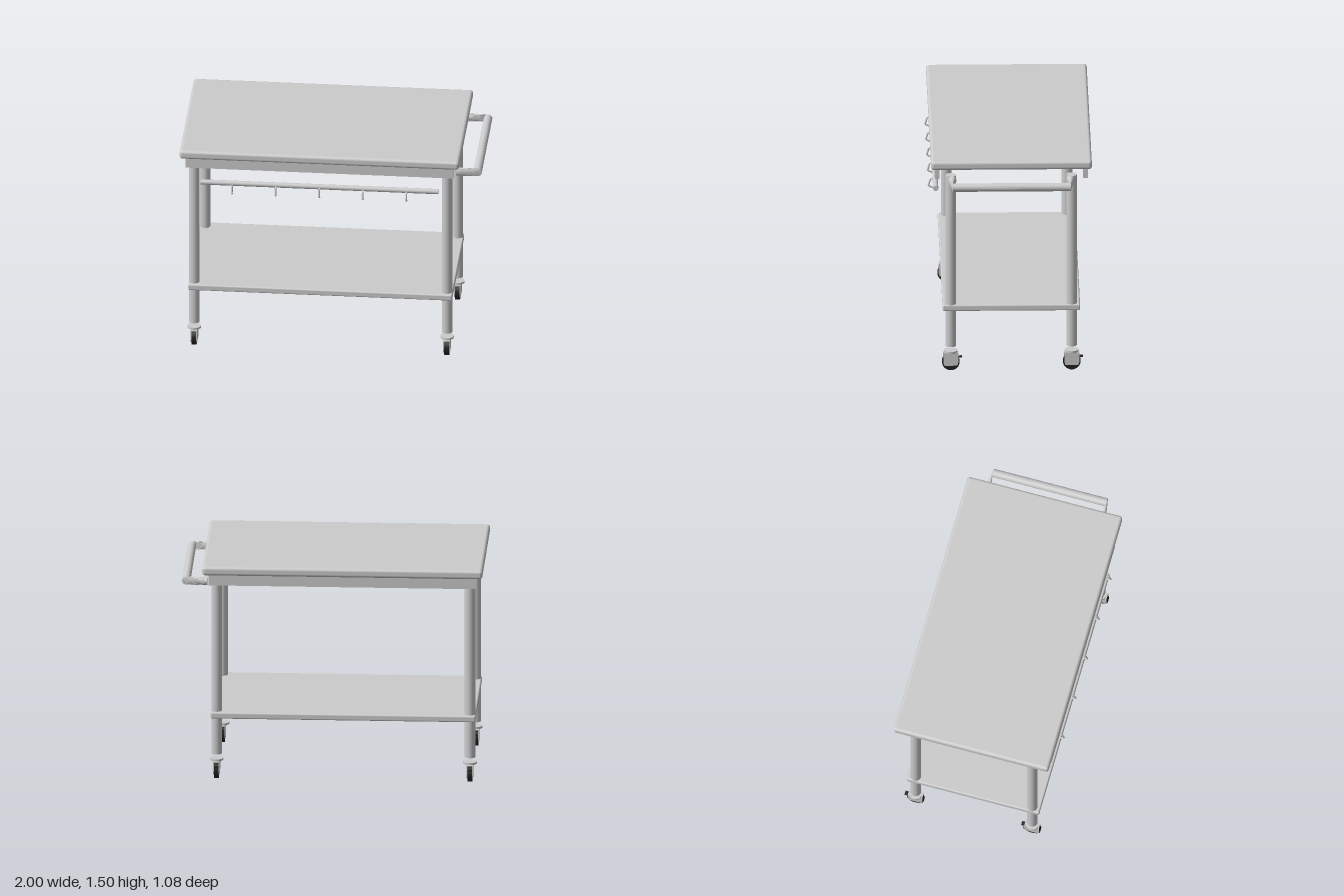
import * as THREE from 'three';
import { RoundedBoxGeometry } from 'three/addons/geometries/RoundedBoxGeometry.js';

const steel = new THREE.MeshStandardMaterial({ color: 0xcccccc });
const steelThin = new THREE.MeshStandardMaterial({ color: 0xcccccc, side: THREE.DoubleSide });
const rubber = new THREE.MeshStandardMaterial({ color: 0x222222 });

const ZC = -0.01; // depth centre of the cart body
const LEG_X = [-0.912, 0.77];
const LEG_Z = [ZC + 0.401, ZC - 0.401];

function add(parent, name, geometry, x, y, z, material = steel) {
  const mesh = new THREE.Mesh(geometry, material);
  mesh.name = name;
  mesh.position.set(x, y, z);
  parent.add(mesh);
  return mesh;
}

// Slab with softened edges, given by its limits
function slab(parent, name, x0, x1, y0, y1, depth, radius) {
  const geometry = new RoundedBoxGeometry(x1 - x0, y1 - y0, depth, 4, radius);
  return add(parent, name, geometry, (x0 + x1) / 2, (y0 + y1) / 2, ZC);
}

// U-shaped push handle: four rings joined by skin, with flattened mitres at the corners
function handleGeometry() {
  const r = 0.028, sides = 24, xIn = 0.832, xOut = 0.972, half = 0.392;
  // each ring: centre x, centre z, and the direction pointing to the outside of the bend
  const rings = [
    [xIn, half, 0, 1],
    [xOut, half, 1, 0],
    [xOut, -half, 1, 0],
    [xIn, -half, 0, -1],
  ];
  const positions = [], index = [];
  for (const [cx, cz, ox, oz] of rings) {
    for (let i = 0; i <= sides; i++) {
      const a = (i / sides) * Math.PI * 2;
      positions.push(cx + ox * r * Math.cos(a), r * Math.sin(a), cz + oz * r * Math.cos(a));
    }
  }
  const row = sides + 1;
  for (let k = 0; k < rings.length - 1; k++) {
    for (let i = 0; i < sides; i++) {
      const a = k * row + i, b = a + row;
      index.push(a, a + 1, b, b, a + 1, b + 1);
    }
  }
  // end caps
  const last = (rings.length - 1) * row;
  for (let i = 1; i < sides - 1; i++) {
    index.push(0, i + 1, i, last, last + i, last + i + 1);
  }
  const geometry = new THREE.BufferGeometry();
  geometry.setAttribute('position', new THREE.Float32BufferAttribute(positions, 3));
  geometry.setIndex(index);
  const flat = geometry.toNonIndexed();
  flat.computeVertexNormals();
  return flat;
}

// Bent wire hook hanging in front of the rail
function hookGeometry() {
  const points = [[1.262, 0.49], [1.252, 0.522], [1.206, 0.536], [1.19, 0.5]]
    .map(([y, z]) => new THREE.Vector3(0, y, z));
  const path = new THREE.CurvePath();
  for (let i = 0; i < points.length - 1; i++) {
    path.add(new THREE.LineCurve3(points[i], points[i + 1]));
  }
  return new THREE.TubeGeometry(path, 24, 0.006, 8, false);
}

// Swivel caster with a fork around the wheel and a brake pedal at the back
function createCaster() {
  const caster = new THREE.Group();
  caster.name = 'caster';
  add(caster, 'casterPlate', new THREE.CylinderGeometry(0.045, 0.045, 0.013, 24), 0, 0.133, 0);
  add(caster, 'casterSwivel', new THREE.CylinderGeometry(0.036, 0.036, 0.008, 24), 0, 0.124, 0);
  add(caster, 'forkBridge', new THREE.BoxGeometry(0.044, 0.006, 0.1), 0, 0.12, 0);

  const cheek = new THREE.Shape([
    [-0.05, 0.123], [-0.05, 0.055], [-0.042, 0.034], [0.042, 0.034], [0.05, 0.055], [0.05, 0.123],
  ].map(([z, y]) => new THREE.Vector2(z, y)));
  const cheekGeometry = new THREE.ExtrudeGeometry(cheek, { depth: 0.006, bevelEnabled: false });
  cheekGeometry.translate(0, 0, -0.003).rotateY(Math.PI / 2);
  for (const side of [-1, 1]) add(caster, 'forkCheek', cheekGeometry, side * 0.019, 0, 0);

  const wheel = new THREE.CylinderGeometry(0.058, 0.058, 0.031, 32).rotateZ(Math.PI / 2);
  add(caster, 'wheel', wheel, 0, 0.058, 0, rubber);
  add(caster, 'brakePedal', new THREE.BoxGeometry(0.028, 0.007, 0.035), 0, 0.091, -0.056, rubber);
  return caster;
}

export function createModel() {
  const cart = new THREE.Group();
  cart.name = 'utilityCart';

  // Worktop and lower shelf
  slab(cart, 'worktop', -1, 0.86, 1.44, 1.5, 1.066, 0.02);
  slab(cart, 'lowerShelf', -0.95, 0.808, 0.425, 0.468, 0.912, 0.01);

  // Long aprons under the worktop
  const apron = new THREE.BoxGeometry(1.78, 0.075, 0.032);
  for (const side of [-1, 1]) add(cart, 'apron', apron, -0.07, 1.4055, ZC + side * 0.492);

  // Legs and casters
  const leg = new THREE.CylinderGeometry(0.035, 0.035, 1.207, 24);
  for (const x of LEG_X) {
    for (const z of LEG_Z) {
      add(cart, 'leg', leg, x, 0.17 + 1.207 / 2, z);
      const caster = createCaster();
      caster.position.set(x, 0, z);
      cart.add(caster);
    }
  }

  // Push handle at one end
  add(cart, 'pushHandle', handleGeometry(), 0, 1.362, ZC, steelThin);

  // Front rail with hooks
  const rail = new THREE.CylinderGeometry(0.0175, 0.0175, 1.58, 16).rotateZ(Math.PI / 2);
  add(cart, 'hookRail', rail, -0.07, 1.262, 0.49);
  const hook = hookGeometry();
  for (let i = 0; i < 5; i++) add(cart, 'hook', hook, -0.65 + i * 0.29, 0, 0, steelThin);

  return cart;
}
